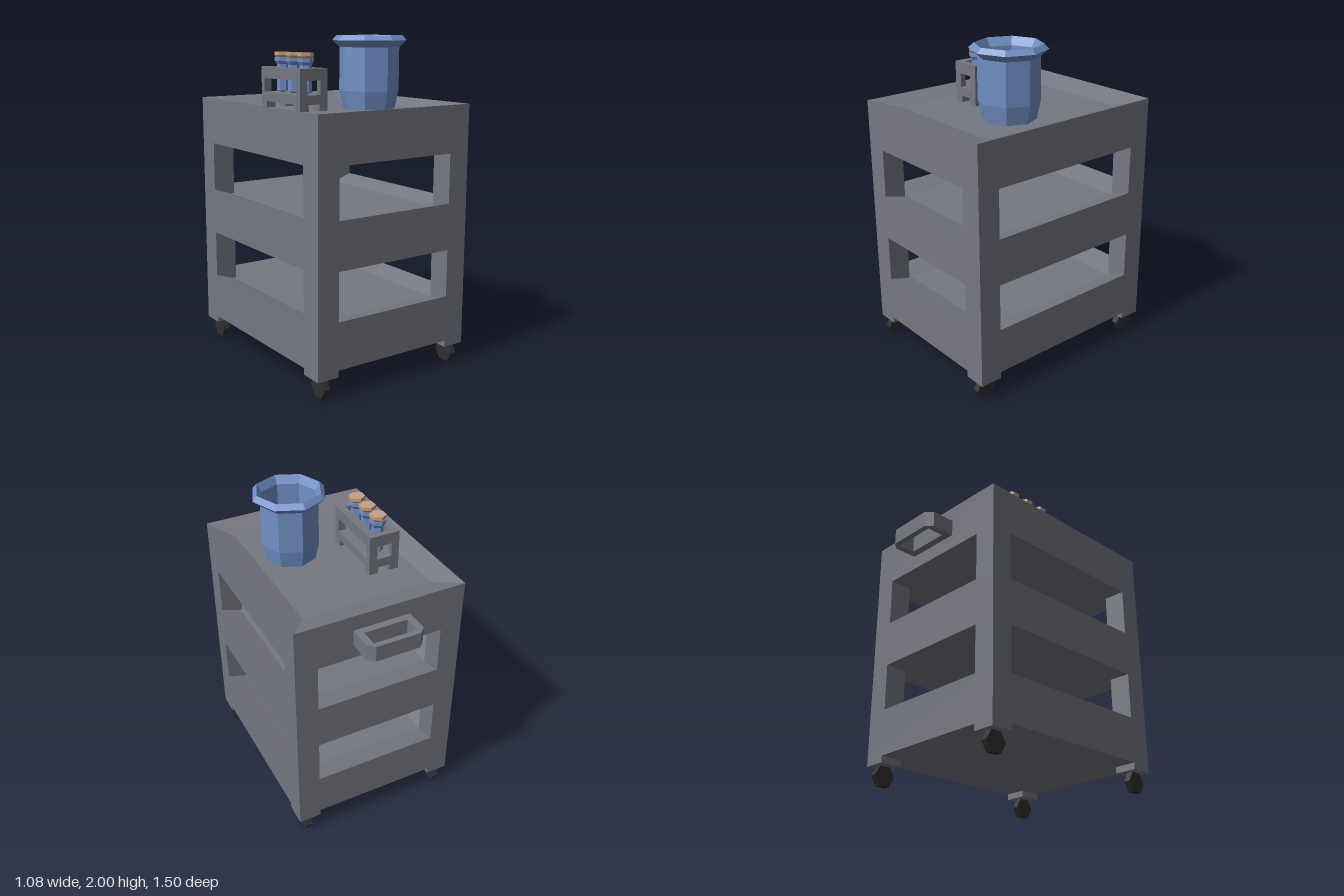
import * as THREE from 'three';

const mat = (name, color) => new THREE.MeshStandardMaterial({ name, color, flatShading: true });

export function createModel() {
  const root = new THREE.Group();
  root.name = 'trolley';
  const grey = mat('grey metal', 0x767882);
  const blue = mat('blue glass', 0x7290c8);
  const cork = mat('cork', 0xc9a084);
  const black = mat('black rubber', 0x303030);

  const add = (parent, name, geometry, material, x = 0, y = 0, z = 0) => {
    const mesh = new THREE.Mesh(geometry, material);
    mesh.name = name;
    mesh.position.set(x, y, z);
    parent.add(mesh);
    return mesh;
  };
  // Box given by its limits
  const block = (parent, name, x0, x1, y0, y1, z0, z1) =>
    add(parent, name, new THREE.BoxGeometry(x1 - x0, y1 - y0, z1 - z0), grey,
      (x0 + x1) / 2, (y0 + y1) / 2, (z0 + z1) / 2);

  // Skin over stacked rectangles [halfWidth, back, front, height], capped at both ends
  const loftRects = (rects) => {
    const rings = rects.map(([w, z0, z1, y]) => [[-w, y, z1], [w, y, z1], [w, y, z0], [-w, y, z0]]);
    const pos = [];
    const quad = (a, b, c, d) => [a, b, c, a, c, d].forEach((p) => pos.push(...p));
    for (let r = 0; r < rings.length - 1; r++) {
      for (let i = 0; i < 4; i++) {
        const j = (i + 1) % 4;
        quad(rings[r][i], rings[r][j], rings[r + 1][j], rings[r + 1][i]);
      }
    }
    quad(...rings[rings.length - 1]);
    quad(...[...rings[0]].reverse());
    const g = new THREE.BufferGeometry();
    g.setAttribute('position', new THREE.Float32BufferAttribute(pos, 3));
    g.computeVertexNormals();
    return g;
  };

  // Three shelves, each a slab with a shallow sloping tray on top
  const back = -0.57, front = 0.75, half = 0.54;
  for (const [y0, y1] of [[0.16, 0.445], [0.735, 1.02], [1.32, 1.605]]) {
    add(root, 'shelf', loftRects([
      [half, back, front, y0], [half, back, front, y1], [0.41, -0.41, 0.59, y1 - 0.045],
    ]), grey);
  }

  // Corner posts, feet and wheels
  for (const s of [-1, 1]) {
    for (const z of [back + 0.07, front - 0.07]) {
      for (const [name, y0, y1] of [['foot', 0.12, 0.16], ['lowerPost', 0.4, 0.735], ['upperPost', 0.975, 1.32]]) {
        block(root, name, s * 0.47 - 0.07, s * 0.47 + 0.07, y0, y1, z - 0.07, z + 0.07);
      }
      const wheel = new THREE.CylinderGeometry(0.069, 0.069, 0.04, 6).rotateZ(Math.PI / 2);
      add(root, 'wheel', wheel, black, s * 0.475, 0.06, z);
    }
  }

  // Push handle: chamfered loop behind the top shelf
  const loop = new THREE.Shape([[-0.18, 0.56], [0.18, 0.56], [0.18, 0.715], [0.14, 0.755], [-0.14, 0.755], [-0.18, 0.715]]
    .map(([x, y]) => new THREE.Vector2(x, y)));
  loop.holes.push(new THREE.Path([[-0.137, 0.615], [-0.137, 0.72], [0.137, 0.72], [0.137, 0.615]]
    .map(([x, y]) => new THREE.Vector2(x, y))));
  add(root, 'handle', new THREE.ExtrudeGeometry(loop, { depth: 0.1, bevelEnabled: false }).rotateX(-Math.PI / 2),
    grey, 0, 1.41, 0);

  // Turned shape from [radius, height] pairs
  const turned = (points, sides) =>
    new THREE.LatheGeometry(points.map(([r, y]) => new THREE.Vector2(r, y)), sides);

  // Eight-sided beaker with a flared rim
  add(root, 'beaker', turned([
    [0, 1.56], [0.16, 1.56], [0.183, 1.67], [0.183, 1.93], [0.228, 1.97], [0.2, 2],
    [0.172, 1.95], [0.168, 1.67], [0.155, 1.59], [0, 1.59],
  ], 8), blue, 0.185, 0, 0.24);

  // Test tube rack: base, open top frame, corner posts and feet
  const rack = new THREE.Group();
  rack.name = 'testTubeRack';
  root.add(rack);
  const [rx0, rx1, rz0, rz1] = [-0.32, -0.125, -0.19, 0.245];
  const [hx0, hx1, hz0, hz1] = [-0.27, -0.175, -0.155, 0.208];
  block(rack, 'rackBase', rx0, rx1, 1.6, 1.655, rz0, rz1);
  block(rack, 'rackTopSide', rx0, hx0, 1.74, 1.81, rz0, rz1);
  block(rack, 'rackTopSide', hx1, rx1, 1.74, 1.81, rz0, rz1);
  block(rack, 'rackTopEnd', hx0, hx1, 1.74, 1.81, rz0, hz0);
  block(rack, 'rackTopEnd', hx0, hx1, 1.74, 1.81, hz1, rz1);
  for (const [x0, x1] of [[rx0, hx0], [hx1, rx1]]) {
    for (const [z0, z1] of [[rz0, hz0], [hz1, rz1]]) {
      block(rack, 'rackPost', x0, x1, 1.655, 1.74, z0, z1);
    }
  }
  for (const [x0, x1] of [[rx0, rx0 + 0.06], [rx1 - 0.06, rx1]]) {
    for (const [z0, z1] of [[rz0, rz0 + 0.06], [rz1 - 0.06, rz1]]) {
      block(rack, 'rackFoot', x0, x1, 1.56, 1.6, z0, z1);
    }
  }

  // Three corked test tubes
  const tube = turned([
    [0, 1.65], [0.036, 1.665], [0.036, 1.825], [0.049, 1.845], [0.049, 1.867], [0, 1.867],
  ], 6);
  const stopper = turned([[0, 1.865], [0.04, 1.865], [0.051, 1.88], [0.051, 1.9], [0, 1.9]], 6);
  for (const z of [-0.1, 0.028, 0.156]) {
    add(rack, 'testTube', tube, blue, -0.222, 0, z);
    add(rack, 'stopper', stopper, cork, -0.222, 0, z);
  }
  return root;
}
